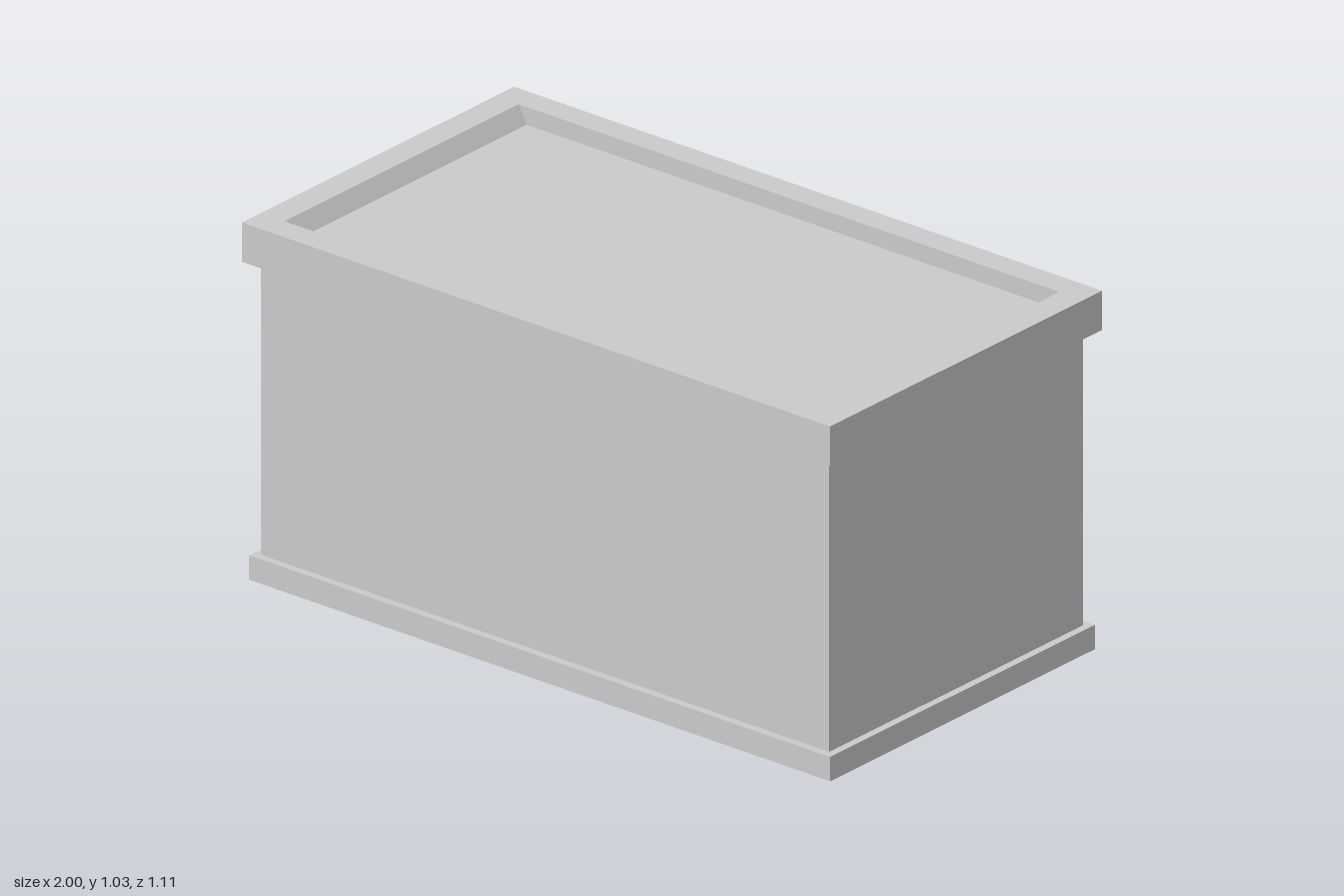
import * as THREE from 'three';

const material = new THREE.MeshStandardMaterial({ color: 0xcccccc, flatShading: true });

// Joins rectangular rings [halfX, y, halfZ] into one closed solid, from its underside to its last ring
function loftRings(rings) {
  const positions = [];
  const index = [];
  for (const [x, y, z] of rings) {
    positions.push(-x, y, z, x, y, z, x, y, -z, -x, y, -z);
  }
  const quad = (a, b, c, d) => index.push(a, b, c, a, c, d);
  for (let r = 0; r < rings.length - 1; r++) {
    for (let i = 0; i < 4; i++) {
      const j = (i + 1) % 4;
      quad(r * 4 + i, r * 4 + j, r * 4 + 4 + j, r * 4 + 4 + i);
    }
  }
  const last = (rings.length - 1) * 4;
  quad(3, 2, 1, 0);
  quad(last, last + 1, last + 2, last + 3);
  const indexed = new THREE.BufferGeometry();
  indexed.setAttribute('position', new THREE.Float32BufferAttribute(positions, 3));
  indexed.setIndex(index);
  const geometry = indexed.toNonIndexed();
  geometry.computeVertexNormals();
  return geometry;
}

function box(width, depth, bottom, top) {
  return new THREE.BoxGeometry(width, top - bottom, depth).translate(0, (bottom + top) / 2, 0);
}

export function createModel() {
  const group = new THREE.Group();
  group.name = 'crate';
  const add = (name, geometry) => {
    const mesh = new THREE.Mesh(geometry, material);
    mesh.name = name;
    group.add(mesh);
  };

  // Plinth and main body
  add('basePlinth', box(1.976, 1.08, 0, 0.07));
  add('body', box(1.932, 1.034, 0.07, 0.915));

  // Overhanging lid with a shallow recess whose two end walls slope inward
  add('recessedLid', loftRings([
    [1, 0.915, 0.555],
    [1, 1.028, 0.555],
    [0.92, 1.028, 0.478],
    [0.893, 0.977, 0.478],
  ]));

  return group;
}
